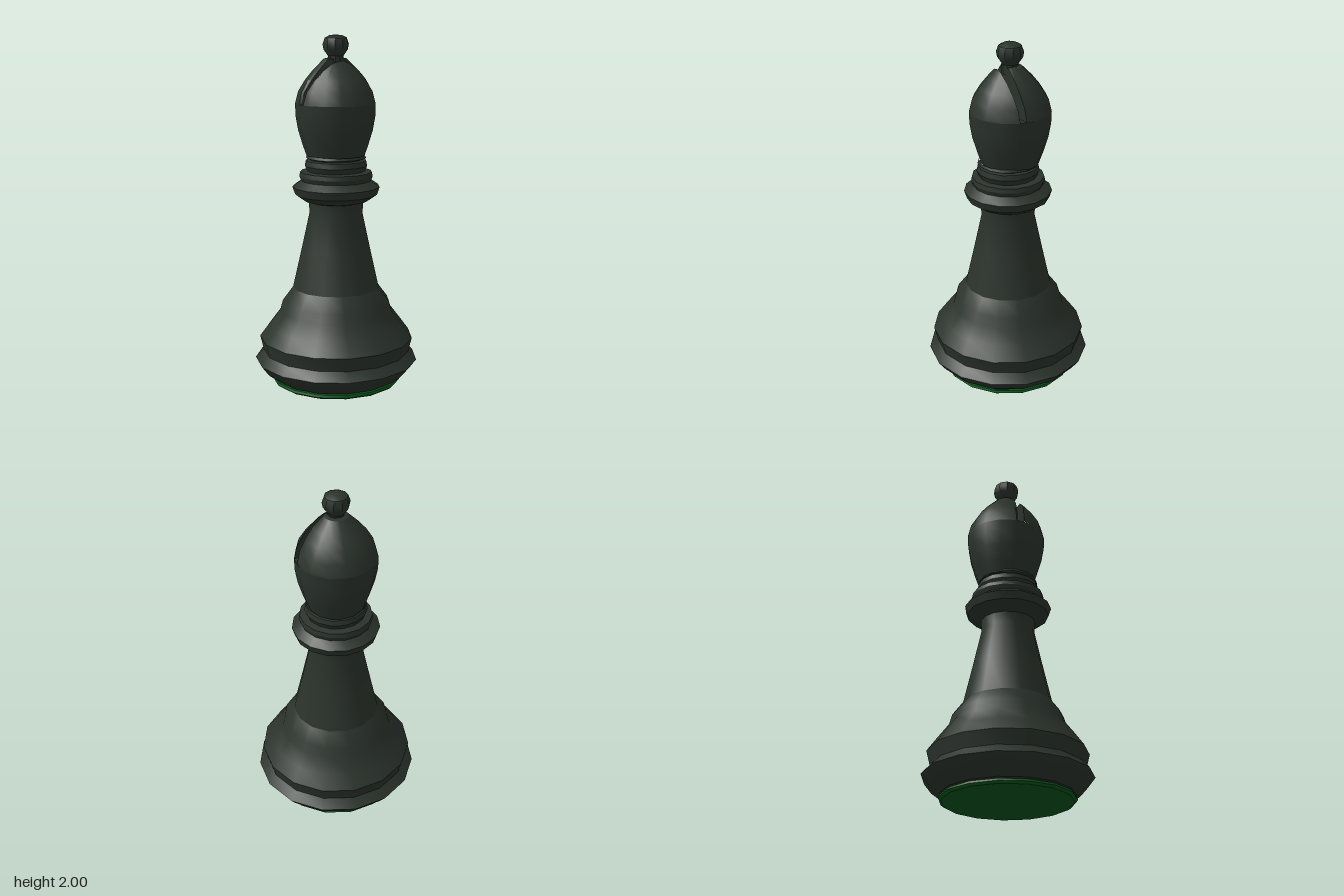
import * as THREE from 'three';
import { toCreasedNormals } from 'three/addons/utils/BufferGeometryUtils.js';

const SIDES = 15;
const SLOT_FLOOR = 1.62;
const SLOT_HALF = 0.02;

// Centre line of the curved slot through the head
const slotZ = (x) => 0.055 + 0.1 * x - 0.6 * x * x;

function turned(profile, sides = SIDES) {
  return new THREE.LatheGeometry(profile.map(([r, y]) => new THREE.Vector2(r, y)), sides);
}

// Flatten one side of a turned shape onto a wall of the slot (side +1 front, -1 back)
function cutBySlot(geometry, side) {
  const p = geometry.attributes.position;
  for (let i = 0; i < p.count; i++) {
    const x = p.getX(i), z = p.getZ(i);
    const wall = slotZ(x) + side * SLOT_HALF;
    if ((z - wall) * side >= 0) continue;
    const reach = Math.sqrt(Math.max(0, x * x + z * z - wall * wall));
    const nx = THREE.MathUtils.clamp(x, -reach, reach);
    p.setXYZ(i, nx, p.getY(i), slotZ(nx) + side * SLOT_HALF);
  }
  return geometry;
}

export function createModel() {
  const group = new THREE.Group();
  const dark = new THREE.MeshStandardMaterial({ color: 0x2b332c });
  dark.name = 'dark body';
  const green = new THREE.MeshStandardMaterial({ color: 0x08541c });
  green.name = 'green felt';

  const add = (parent, name, geometry, material = dark) => {
    const mesh = new THREE.Mesh(toCreasedNormals(geometry, 0.55), material);
    mesh.name = name;
    parent.add(mesh);
    return mesh;
  };

  // Felt pad under the base
  add(group, 'feltPad', turned([[0, 0], [0.36, 0], [0.375, 0.012], [0.37, 0.025], [0, 0.028]]), green);

  // Wide foot with a sharp rim and a rounded belly
  add(group, 'base', turned([
    [0, 0.034], [0.37, 0.034], [0.43, 0.08], [0.472, 0.135], [0.425, 0.185],
    [0.445, 0.265], [0.39, 0.34], [0.325, 0.425], [0.31, 0.48], [0.25, 0.56],
  ]));

  // Tapering stem
  add(group, 'stem', turned([[0.25, 0.56], [0.2, 0.78], [0.152, 1.0], [0.16, 1.09]]));

  // Collar rings
  add(group, 'collar', turned([
    [0.15, 1.06], [0.185, 1.07], [0.235, 1.105], [0.25, 1.15], [0.2, 1.185],
    [0.21, 1.21], [0.205, 1.235], [0.165, 1.24], [0.178, 1.27], [0.172, 1.3],
    [0.15, 1.305], [0.172, 1.315], [0.165, 1.33],
  ]));

  // Head: solid lower bulb and two halves above the slot floor
  const head = new THREE.Group();
  head.name = 'head';
  head.position.set(0.004, 0, -0.012);
  group.add(head);
  add(head, 'lowerHead', turned([
    [0.16, 1.31], [0.185, 1.38], [0.212, 1.47], [0.226, 1.55], [0.228, SLOT_FLOOR], [0, SLOT_FLOOR],
  ]));
  const upper = [[0.228, SLOT_FLOOR], [0.21, 1.69], [0.17, 1.755], [0.125, 1.81]];
  add(head, 'frontHalf', cutBySlot(turned([...upper, [0.085, 1.85], [0, 1.862]]), 1));
  add(head, 'backHalf', cutBySlot(turned([...upper, [0.065, 1.87], [0, 1.885]]), -1));

  // Small knob on top
  const knob = add(head, 'knob', turned([
    [0.045, 1.83], [0.045, 1.885], [0.07, 1.92], [0.076, 1.95], [0.064, 1.985], [0.035, 2.0], [0, 2.0],
  ], 10));
  knob.position.z = 0.002;

  return group;
}
